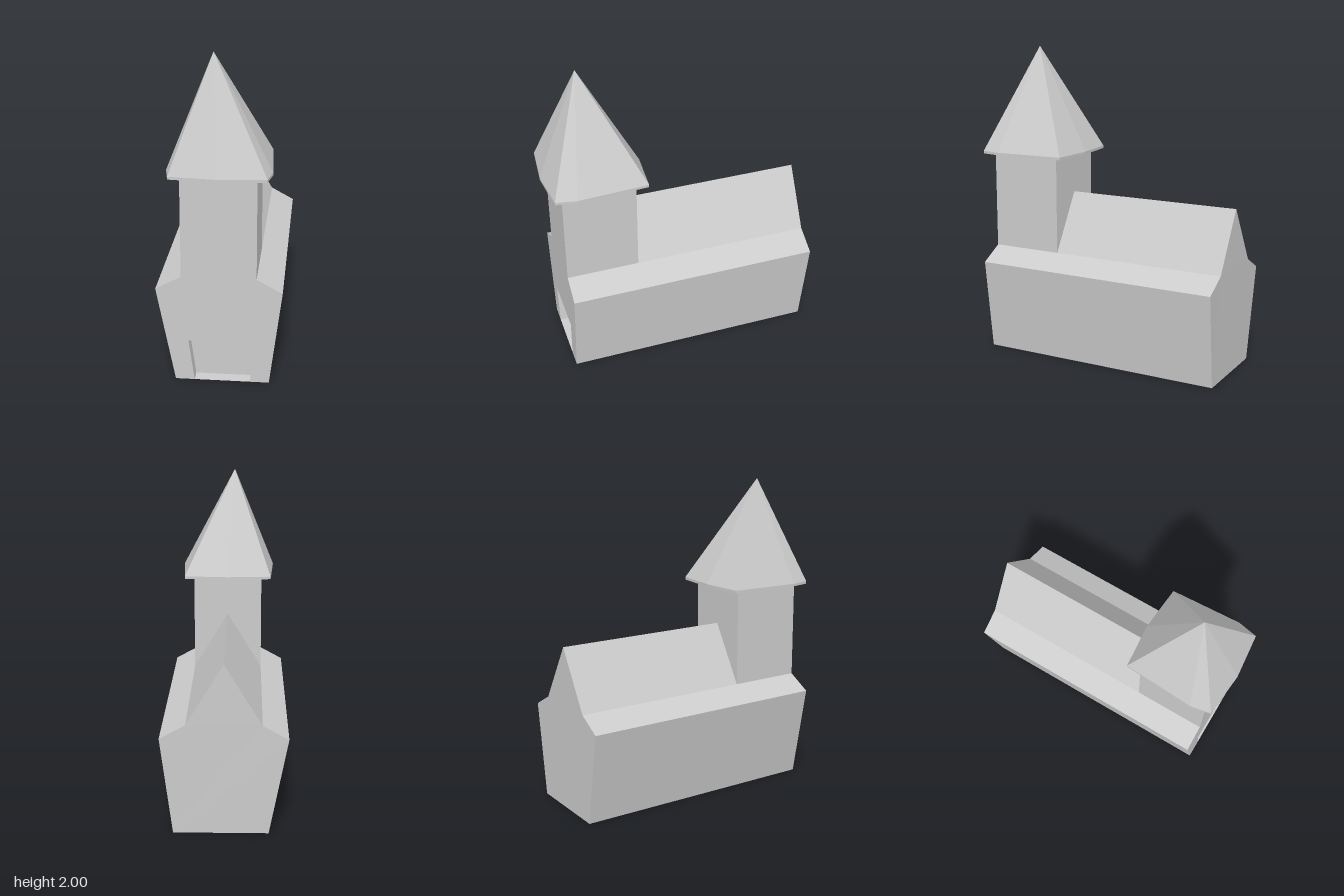
import * as THREE from 'three';
import { mergeGeometries } from 'three/addons/utils/BufferGeometryUtils.js';

const FRONT = 0.767, BACK = -0.848, TOWER_BACK = 0.3;
const material = new THREE.MeshStandardMaterial({ color: 0xcccccc, flatShading: true });

// Triangles given as lists of [x, y, z] corners
function fromTriangles(triangles) {
  const geometry = new THREE.BufferGeometry();
  geometry.setAttribute('position', new THREE.Float32BufferAttribute(triangles.flat(2), 3));
  geometry.computeVertexNormals();
  return geometry;
}

// Walls along z following an outline, anticlockwise as seen from the front
function walls(points, zBack, zFront) {
  const triangles = [];
  for (let i = 0; i < points.length - 1; i++) {
    const [a, b] = [points[i], points[i + 1]];
    const aF = [...a, zFront], aB = [...a, zBack], bF = [...b, zFront], bB = [...b, zBack];
    triangles.push([aF, aB, bB], [aF, bB, bF]);
  }
  return fromTriangles(triangles);
}

// Flat polygon facing the front, or the back when flipped
function face(points, z, flipped = false) {
  const outline = points.map(([x, y]) => new THREE.Vector2(flipped ? -x : x, y));
  const geometry = new THREE.ShapeGeometry(new THREE.Shape(outline)).toNonIndexed();
  geometry.deleteAttribute('uv');
  if (flipped) geometry.rotateY(Math.PI);
  return geometry.translate(0, 0, z);
}

function createMesh(name, geometries) {
  const mesh = new THREE.Mesh(mergeGeometries(geometries), material);
  mesh.name = name;
  return mesh;
}

export function createModel() {
  const group = new THREE.Group();
  group.name = 'towerHouse';

  const footL = [-0.266, 0], footR = [0.305, 0];
  const eaveL = [-0.38, 0.6], eaveR = [0.38, 0.6];
  const shoulderL = [-0.225, 0.685], shoulderR = [0.225, 0.685];
  const ridge = [0, 1.055];
  const towerTopL = [-0.225, 1.31], towerTopR = [0.225, 1.31];

  // Hall with leaning walls, sloping shoulders and a gabled roof
  const hall = mergeGeometries([
    walls([shoulderL, eaveL, footL, footR, eaveR, shoulderR], BACK, FRONT),
    walls([shoulderR, ridge, shoulderL], BACK, TOWER_BACK),
    face([footL, footR, eaveR, shoulderR, ridge, shoulderL, eaveL], BACK, true),
  ]);
  // The back wall is set in slightly at the ground
  const p = hall.attributes.position;
  for (let i = 0; i < p.count; i++) {
    if (p.getZ(i) < -0.8 && p.getY(i) < 0.01) p.setZ(i, BACK + 0.008);
  }
  hall.computeVertexNormals();
  group.add(createMesh('hall', [hall]));

  // Front wall, running up into the tower, with a door opening
  const door = [[-0.15, 0], [-0.185, 0.265], [0.205, 0.265], [0.19, 0]];
  group.add(createMesh('frontWall', [
    face([footL, ...door, footR, eaveR, shoulderR, towerTopR, towerTopL, shoulderL, eaveL], FRONT),
  ]));

  // Shallow door recess: sides, top, floor and door panel
  const doorZ = FRONT - 0.08;
  group.add(createMesh('doorRecess', [walls([...door, door[0]], doorZ, FRONT), face(door, doorZ)]));

  // Square tower: side and back walls
  group.add(createMesh('tower', [
    walls([shoulderR, towerTopR], TOWER_BACK, FRONT),
    walls([towerTopL, shoulderL], TOWER_BACK, FRONT),
    face([shoulderL, shoulderR, towerTopR, towerTopL], TOWER_BACK, true),
  ]));

  // Spire with a bowed square base, a thin rim and an off-centre tip
  const base = [
    [0, 0.847], [0.285, 0.82], [0.31, 0.69], [0.285, 0.237],
    [0, 0.213], [-0.285, 0.237], [-0.31, 0.69], [-0.285, 0.82],
  ];
  const tip = [-0.043, 2, 0.58], under = [0, 1.31, 0.53];
  const spire = [];
  base.forEach(([x, z], i) => {
    const [nx, nz] = base[(i + 1) % base.length];
    const a = [x, 1.31, z], b = [nx, 1.31, nz];
    const c = [x, 1.327, z], d = [nx, 1.327, nz];
    spire.push([a, b, d], [a, d, c], [c, d, tip], [b, a, under]);
  });
  group.add(createMesh('spire', [fromTriangles(spire)]));

  return group;
}
